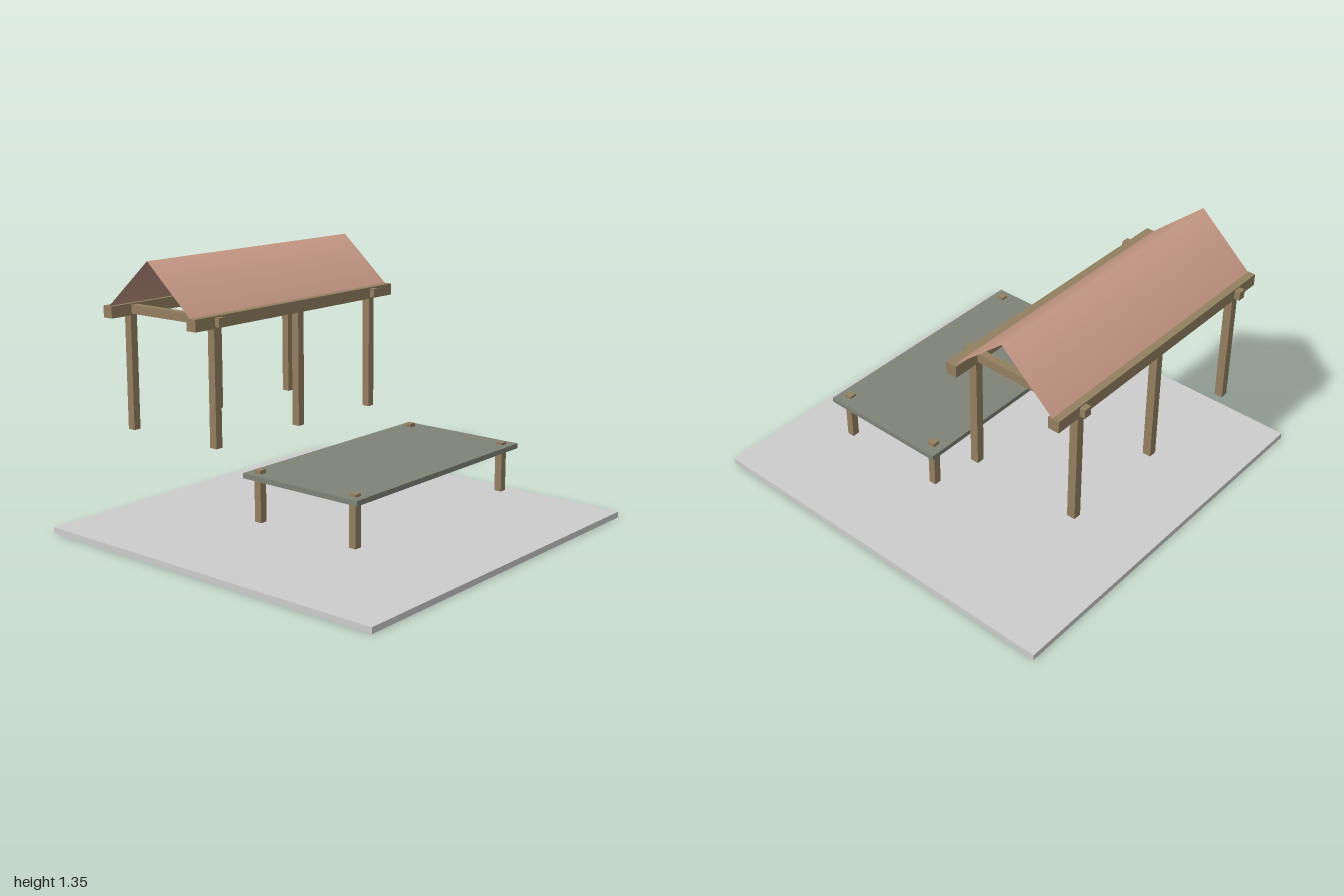
import * as THREE from 'three';

export function createModel() {
  const model = new THREE.Group();
  const stone = new THREE.MeshStandardMaterial({ name: 'pale stone', color: 0xcdcdcd });
  const wood = new THREE.MeshStandardMaterial({ name: 'brown wood', color: 0x937f60 });
  const slate = new THREE.MeshStandardMaterial({ name: 'grey green board', color: 0x7f8377 });
  const clay = new THREE.MeshStandardMaterial({ name: 'clay roof', color: 0xc29583, side: THREE.DoubleSide });

  // Box given by its lower and upper limits on each axis
  function box(name, material, [x0, x1], [y0, y1], [z0, z1], parent = model) {
    const mesh = new THREE.Mesh(new THREE.BoxGeometry(x1 - x0, y1 - y0, z1 - z0), material);
    mesh.position.set((x0 + x1) / 2, (y0 + y1) / 2, (z0 + z1) / 2);
    mesh.name = name;
    parent.add(mesh);
  }
  const around = (centre, width) => [centre - width / 2, centre + width / 2];

  // Ground slab
  box('groundSlab', stone, [-1, 1], [0, 0.03], [-1, 1]);

  // Low table: board with four legs whose tops poke through
  const table = new THREE.Group();
  table.name = 'table';
  model.add(table);
  box('tableTop', slate, [-0.636, 0.631], [0.375, 0.4], [-0.059, 0.623], table);
  for (const x of [-0.582, 0.562]) {
    box('frontTableLeg', wood, around(x + 0.001, 0.038), [0.162, 0.412], around(0.568, 0.038), table);
    box('backTableLeg', wood, around(x - 0.002, 0.038), [0.165, 0.418], around(0.002, 0.038), table);
  }

  // Shelter frame: two rows of posts, long beams and cross beams
  const shelter = new THREE.Group();
  shelter.name = 'shelter';
  model.add(shelter);
  const rows = [-0.285, -0.857];
  for (const z of rows) {
    for (const x of [-0.58, 0.007, 0.565])
      box('post', wood, around(x, 0.04), [0.47, 1.08], around(z, 0.042), shelter);
    box('longBeam', wood, [-0.728, 0.722], [1.05, 1.109], around(z, 0.058), shelter);
  }
  for (const x of [-0.58, 0.565])
    box('crossBeam', wood, around(x, 0.04), [1.058, 1.102], [-0.914, -0.232], shelter);

  // Thin open gable roof, shaded smoothly over the ridge
  const section = [[1.1, -0.286], [1.35, -0.573], [1.1, -0.86]];
  const points = section.flatMap(([y, z]) => [-0.723, y, z, 0.72, y, z]);
  const roofGeometry = new THREE.BufferGeometry();
  roofGeometry.setAttribute('position', new THREE.Float32BufferAttribute(points, 3));
  roofGeometry.setIndex([0, 1, 3, 0, 3, 2, 2, 3, 5, 2, 5, 4]);
  roofGeometry.computeVertexNormals();
  // Both ridge corners point straight up
  for (const i of [2, 3]) roofGeometry.attributes.normal.setXYZ(i, 0, 1, 0);
  const roof = new THREE.Mesh(roofGeometry, clay);
  roof.name = 'roof';
  shelter.add(roof);

  return model;
}
